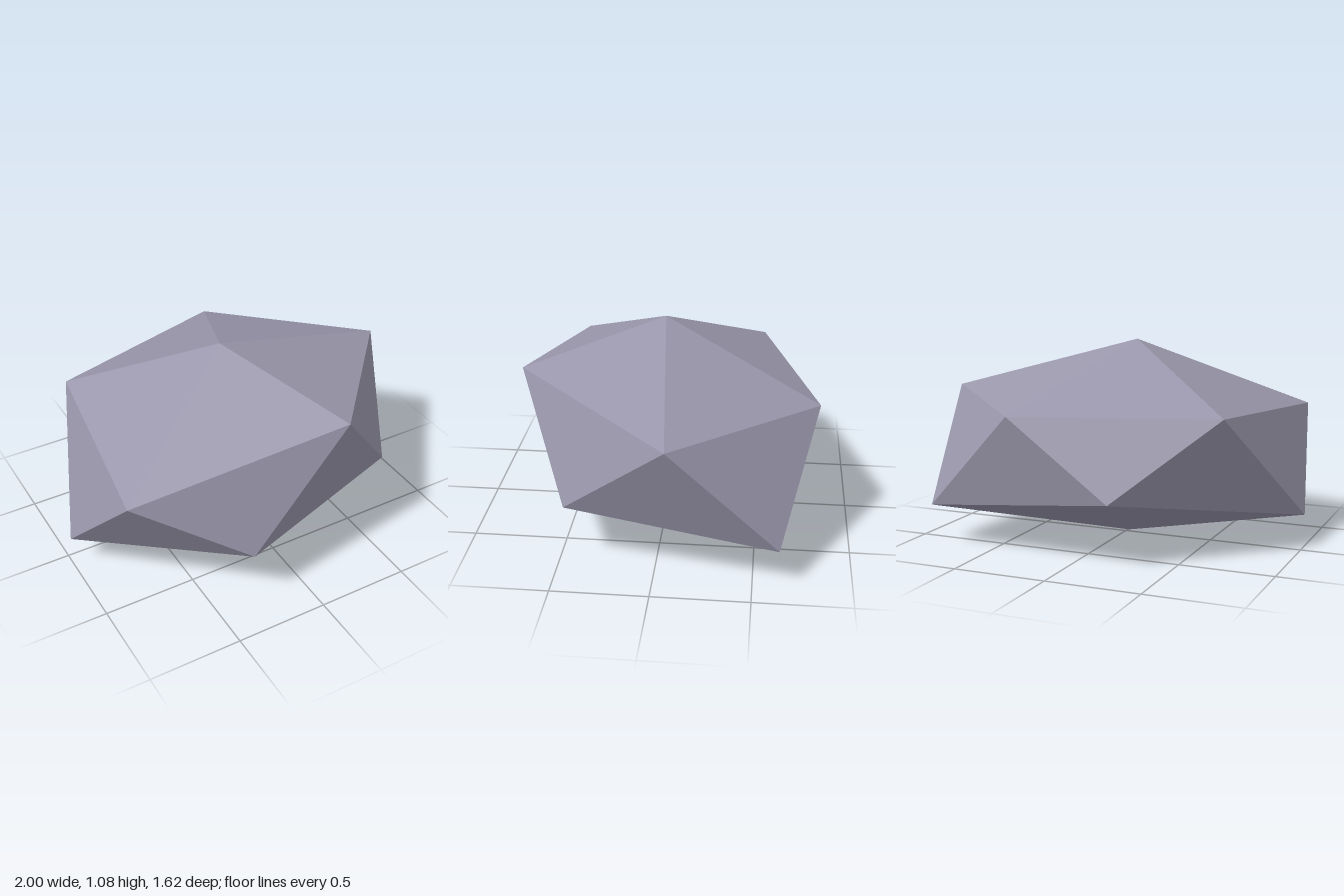
import * as THREE from 'three';

const stone = new THREE.MeshStandardMaterial({ color: 0x9a96ab, flatShading: true });
stone.name = 'stone';

// Faceted boulder: a squashed icosahedron made of two staggered five-point rings and two poles
export function createModel() {
  const top = [-0.06, 1.08, 0.02];
  const bottom = [-0.01, 0, 0.03];
  // Both rings run clockwise as seen from above
  const upper = [[0.28, 0.89, 0.74], [-0.88, 0.7, 0.58], [-0.73, 0.755, -0.51], [0.3, 0.75, -0.815], [1, 0.79, -0.075]];
  const lower = [[-0.305, 0.325, 0.81], [-1, 0.175, 0.07], [-0.23, 0.34, -0.78], [0.865, 0.21, -0.63], [0.735, 0.325, 0.465]];

  const corners = [];
  for (let i = 0; i < 5; i++) {
    const j = (i + 1) % 5;
    corners.push(
      top, upper[j], upper[i], // cap
      upper[i], upper[j], lower[i], // sides
      lower[i], upper[j], lower[j],
      bottom, lower[i], lower[j], // underside
    );
  }
  const geometry = new THREE.BufferGeometry();
  geometry.setAttribute('position', new THREE.Float32BufferAttribute(corners.flat(), 3));
  geometry.computeVertexNormals();

  const rock = new THREE.Mesh(geometry, stone);
  rock.name = 'rock';
  const group = new THREE.Group();
  group.name = 'boulder';
  group.add(rock);
  return group;
}
